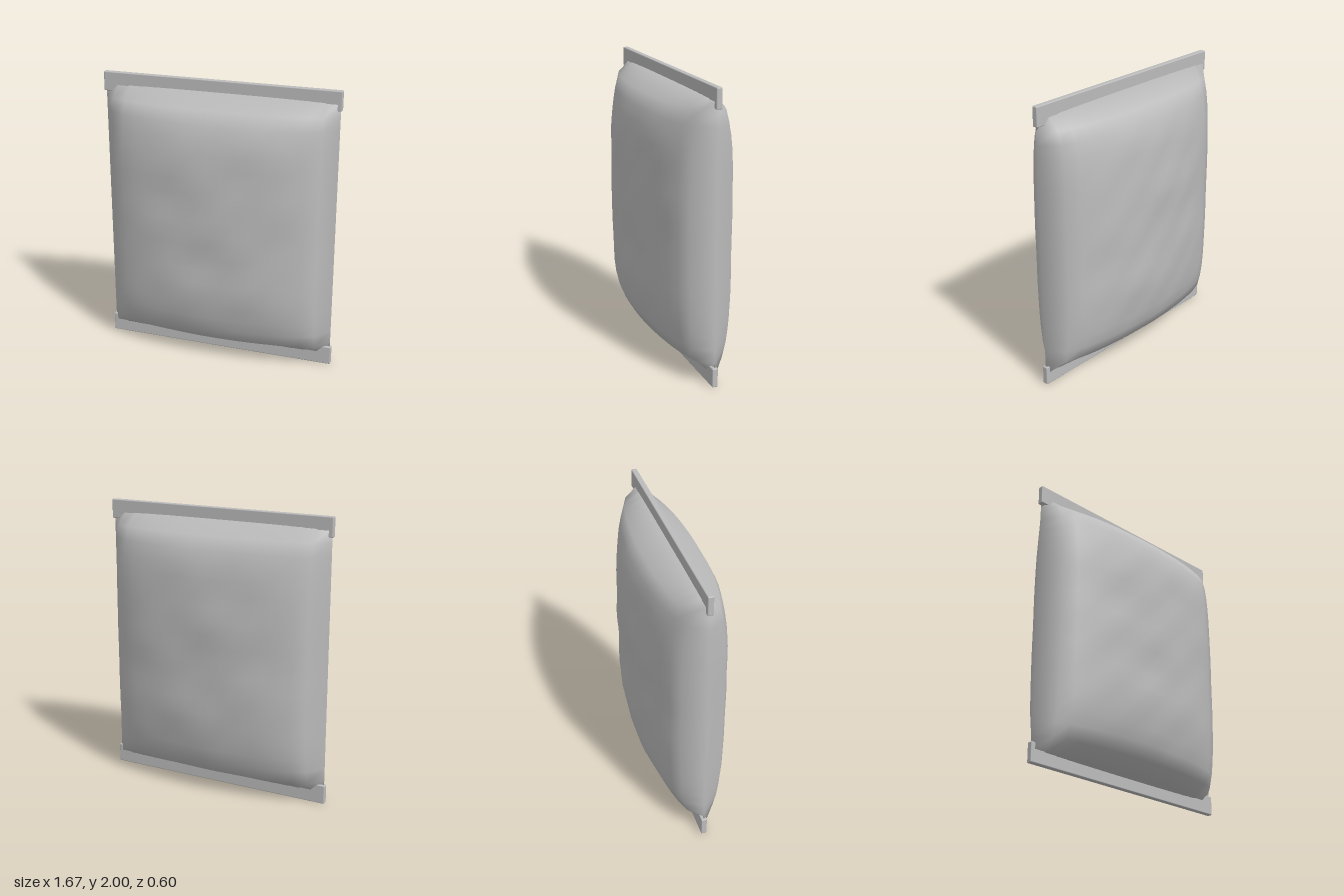
import * as THREE from 'three';
import { mergeGeometries, mergeVertices } from 'three/addons/utils/BufferGeometryUtils.js';
import { RoundedBoxGeometry } from 'three/addons/geometries/RoundedBoxGeometry.js';

const W = 1.65, H = 1.86, DEPTH = 0.292;

// One bulging panel, pinched to the seam on all four edges, with soft wrinkles
function panel(phase) {
  const geo = new THREE.PlaneGeometry(W, H, 18, 20);
  const p = geo.attributes.position;
  for (let i = 0; i < p.count; i++) {
    const x = p.getX(i), y = p.getY(i);
    const u = Math.min(1, Math.abs(x) / (W / 2)), v = Math.min(1, Math.abs(y) / (H / 2));
    const puff = Math.pow(Math.max(0, 1 - u * u), 0.45) * Math.pow(Math.max(0, 1 - v ** 4), 0.4);
    const wrinkle = Math.sin(9 * y + 4 * x + phase) * Math.sin(6 * x - 3 * y + 2 * phase)
      + 0.7 * Math.sin(17 * y - 7 * x + 3 * phase) * Math.cos(11 * x + phase);
    const z = u > 0.9999 || v > 0.9999 ? 0 : DEPTH * puff + 0.008 * wrinkle * puff ** 3;
    p.setXYZ(i, x, y, z);
  }
  geo.deleteAttribute('normal');
  geo.deleteAttribute('uv');
  return geo;
}

export function createModel() {
  const model = new THREE.Group();
  const grey = new THREE.MeshStandardMaterial({ color: 0xbcbcbc });
  grey.name = 'light grey';

  // Stuffed bag: front and back panels welded along the seam
  const bagGeo = mergeVertices(mergeGeometries([panel(0.6), panel(2.3).rotateY(Math.PI)]), 1e-4);
  bagGeo.computeVertexNormals();
  const bag = new THREE.Mesh(bagGeo, grey);
  bag.name = 'bag';
  bag.position.y = 1;
  model.add(bag);

  // Flat sealing strips at both ends
  for (const [name, y] of [['topSeal', 1.9325], ['bottomSeal', 0.0675]]) {
    const seal = new THREE.Mesh(new RoundedBoxGeometry(1.67, 0.135, 0.04, 2, 0.007), grey);
    seal.name = name;
    seal.position.y = y;
    model.add(seal);
  }
  return model;
}
